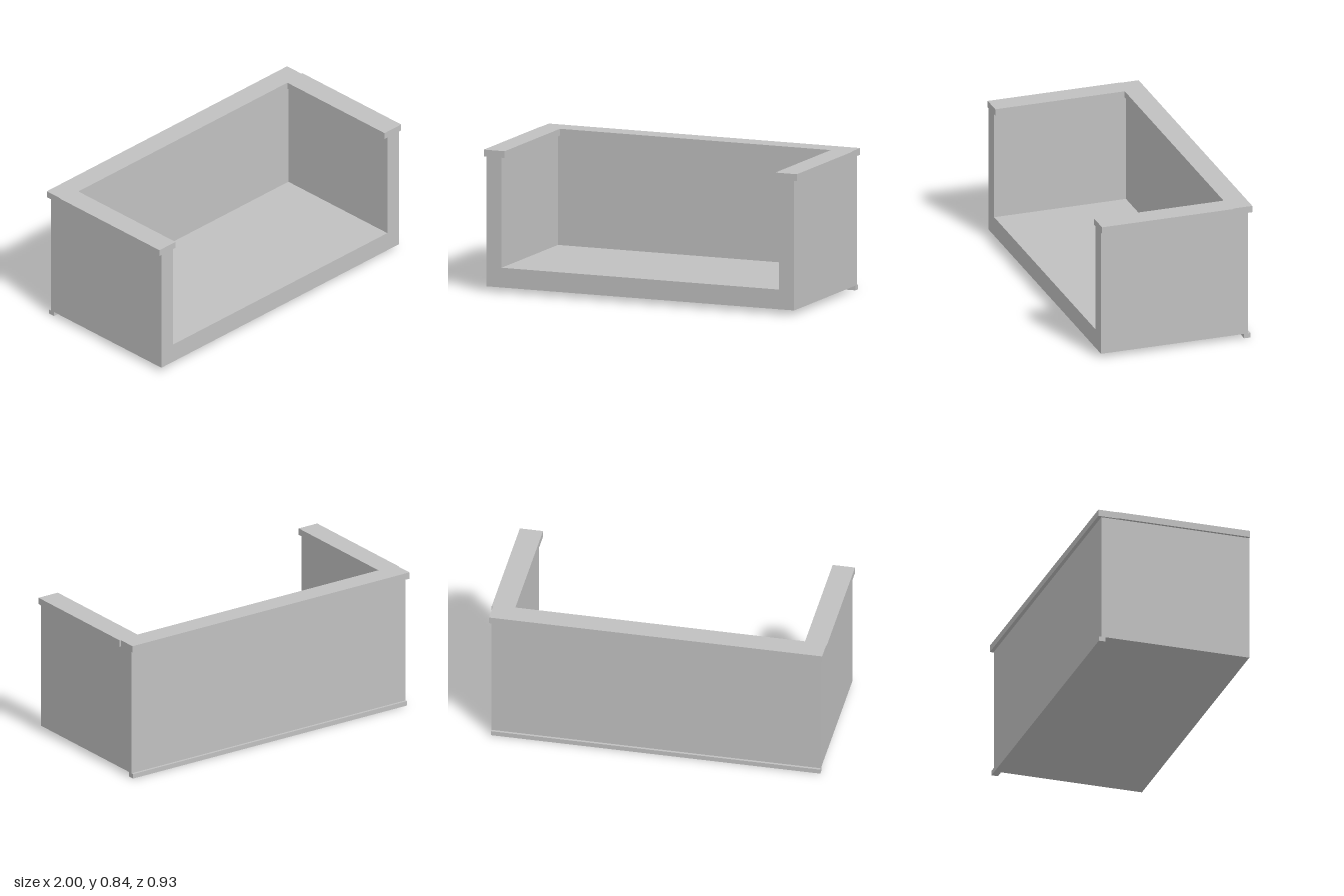
import * as THREE from 'three';

export function createModel() {
  const group = new THREE.Group();
  const stone = new THREE.MeshStandardMaterial({ color: 0xc0c0c0 });
  stone.name = 'lightGrey';

  const add = (name, geometry) => {
    const mesh = new THREE.Mesh(geometry, stone);
    mesh.name = name;
    group.add(mesh);
    return mesh;
  };
  const box = (name, x0, x1, y0, y1, z0, z1) => {
    const mesh = add(name, new THREE.BoxGeometry(x1 - x0, y1 - y0, z1 - z0));
    mesh.position.set((x0 + x1) / 2, (y0 + y1) / 2, (z0 + z1) / 2);
  };
  const extrude = (points, depth) => new THREE.ExtrudeGeometry(
    new THREE.Shape(points.map(([x, y]) => new THREE.Vector2(x, y))),
    { depth, bevelEnabled: false });

  const front = 0.467, back = -0.445, innerBack = -0.35;

  // Floor slab and both side walls as one U-shaped section
  const shell = add('floorAndSideWalls', extrude([
    [-0.982, 0.028], [0.982, 0.028], [0.982, 0.8], [0.885, 0.8],
    [0.885, 0.145], [-0.885, 0.145], [-0.885, 0.8], [-0.982, 0.8],
  ], front - back));
  shell.position.z = back;

  // Rear wall between the side walls
  box('backWall', -0.885, 0.885, 0.145, 0.8, back, innerBack);

  // Overhanging coping around the three walls, slightly stepped at the rear corners
  const coping = add('coping', extrude([
    [-0.998, -front], [-0.865, -front], [-0.865, 0.335], [0.862, 0.335],
    [0.862, -front], [1, -front], [1, 0.35], [0.992, 0.35],
    [0.992, 0.467], [-0.994, 0.467], [-0.994, 0.35], [-0.998, 0.35],
  ], 0.04));
  coping.rotation.x = -Math.PI / 2;
  coping.position.y = 0.798;

  // Drip edge under the rear wall
  box('rearDripEdge', -0.982, 0.982, 0, 0.028, -0.46, -0.42);

  return group;
}
